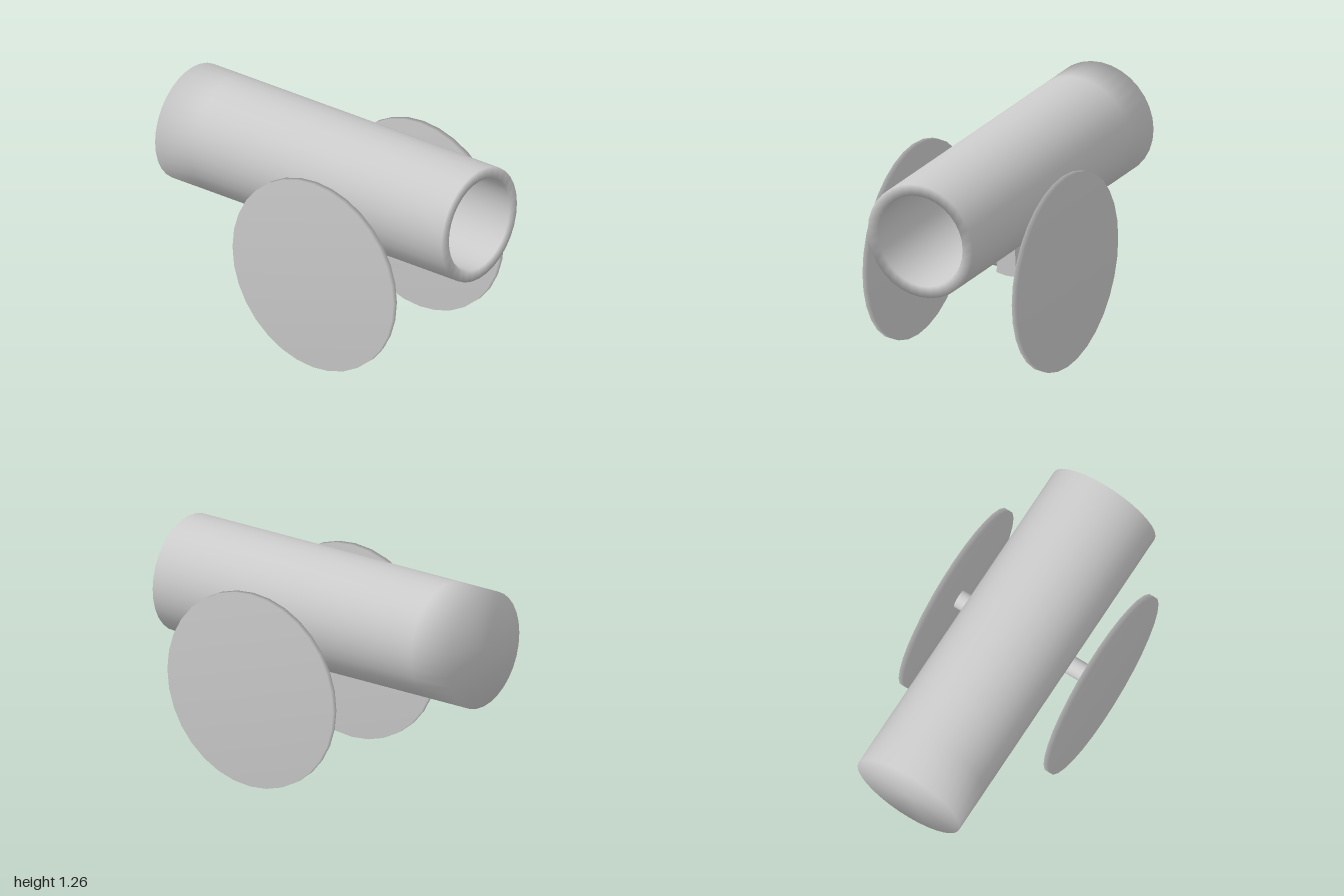
import * as THREE from 'three';

const material = new THREE.MeshStandardMaterial({ color: 0xcccccc });

// Turned solid with soft normals; profile is [radius, distance along axis]
function turned(profile, axis) {
  const geo = new THREE.LatheGeometry(profile.map(([r, d]) => new THREE.Vector2(r, d)), 32);
  if (axis === 'z') geo.rotateX(Math.PI / 2);
  else geo.rotateZ(-Math.PI / 2);
  return geo;
}

export function createModel() {
  const group = new THREE.Group();
  const add = (name, geo, x, y, z) => {
    const mesh = new THREE.Mesh(geo, material);
    mesh.name = name;
    mesh.position.set(x, y, z);
    group.add(mesh);
  };

  // Barrel: flat closed back, open muzzle with a thick rim, deep bore
  add('barrel', turned([
    [0, -1], [0.33, -1], [0.33, -0.75], [0.33, 1],
    [0.265, 1], [0.265, -0.75], [0, -0.75],
  ], 'z'), 0, 0.927, 0);

  // Axle
  add('axle', turned([[0.053, -0.455], [0.053, 0.455]], 'x'), 0, 0.568, 0.229);

  for (const [side, s] of [['left', 1], ['right', -1]]) {
    // Solid disc wheel
    add(side + 'Wheel', turned([
      [0, -0.0165], [0.561, -0.0165], [0.561, 0.0165], [0, 0.0165],
    ], 'x'), s * 0.468, 0.561, 0.225);

    // Tapered bracket between axle and barrel
    const outline = [[0.245, 0.535], [0.235, 0.72], [0.135, 0.68], [0.12, 0.54], [0.18, 0.531]];
    const shape = new THREE.Shape(outline.map(([x, y]) => new THREE.Vector2(s * x, y)));
    const bracket = new THREE.ExtrudeGeometry(shape, { depth: 0.28, bevelEnabled: false });
    add(side + 'Bracket', bracket, 0, 0, 0.09);
  }
  return group;
}
